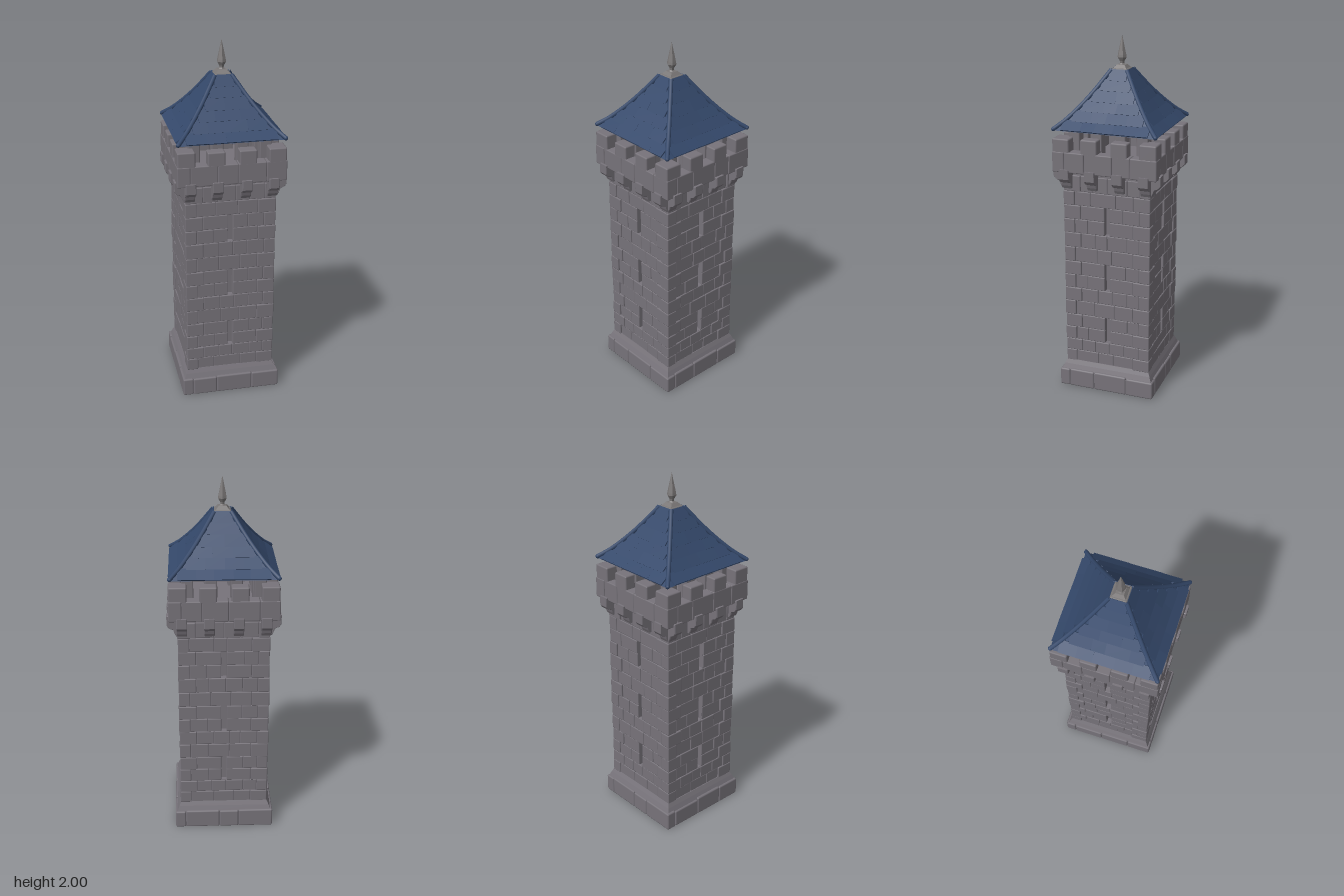
import * as THREE from 'three';
import { mergeGeometries } from 'three/addons/utils/BufferGeometryUtils.js';
import { RoundedBoxGeometry } from 'three/addons/geometries/RoundedBoxGeometry.js';

const stone = new THREE.MeshStandardMaterial({ color: 0x77737a });
stone.name = 'greyStone';
const slate = new THREE.MeshStandardMaterial({ color: 0x34486a });
slate.name = 'blueSlate';
const pale = new THREE.MeshStandardMaterial({ color: 0x7a7777 });
pale.name = 'finialStone';

// Small seeded generator for hand-cut irregularity
let seed = 7;
const rnd = (a, b) => {
  seed = (seed * 16807) % 2147483647;
  return a + (b - a) * (seed / 2147483647);
};

const plain = g => (g.index ? g.toNonIndexed() : g);
const flat = g => { const f = plain(g); f.computeVertexNormals(); return f; };

// Rounded stone between two corners
function block(x0, x1, y0, y1, z0, z1, r = 0.006) {
  const g = new RoundedBoxGeometry(x1 - x0, y1 - y0, z1 - z0, 1, r);
  return plain(g.translate((x0 + x1) / 2, (y0 + y1) / 2, (z0 + z1) / 2));
}

// Square frustum with half widths a (bottom) and b (top)
function frustum(a, b, y0, y1) {
  const g = new THREE.CylinderGeometry(b * Math.SQRT2, a * Math.SQRT2, y1 - y0, 4);
  return flat(g.rotateY(Math.PI / 4).translate(0, (y0 + y1) / 2, 0));
}

// Cut the span a..b into n stones of uneven length
function cuts(a, b, n) {
  const out = [a];
  for (let i = 1; i < n; i++) out.push(a + ((b - a) * (i + rnd(-0.2, 0.2))) / n);
  out.push(b);
  return out;
}

const WINDOWS = [[0.29, 0.445], [0.61, 0.77], [0.94, 1.1]];
const COURSES = [0.15, 0.22, 0.29, 0.367, 0.445, 0.53, 0.61, 0.69, 0.77, 0.855, 0.94, 1.02, 1.1, 1.18, 1.27];
const ROOF = [[0.285, 1.525], [0.237, 1.565], [0.192, 1.613], [0.153, 1.66], [0.112, 1.715], [0.078, 1.765], [0.045, 1.815]];

// Backing wall with open arrow slits
function wall() {
  const s = new THREE.Shape();
  s.moveTo(-0.238, 0.1).lineTo(0.238, 0.1).lineTo(0.238, 1.3).lineTo(-0.238, 1.3).closePath();
  for (const [a, b] of WINDOWS) {
    const h = new THREE.Path();
    h.moveTo(-0.015, a).lineTo(-0.015, b).lineTo(0.015, b).lineTo(0.015, a).closePath();
    s.holes.push(h);
  }
  return [plain(new THREE.ExtrudeGeometry(s, { depth: 0.04, bevelEnabled: false }).translate(0, 0, 0.198))];
}

// Coursed stones of one side, leaving the slits free
function masonry() {
  const out = [];
  for (let i = 0; i < COURSES.length - 1; i++) {
    const y0 = COURSES[i], y1 = COURSES[i + 1], even = i % 2 === 0;
    const left = -0.247 + (even ? 0.06 : 0.095), right = 0.247 - (even ? 0.095 : 0.06);
    const slit = WINDOWS.some(([a, b]) => y0 > a - 0.01 && y1 < b + 0.01);
    const spans = slit
      ? [cuts(left, -0.0145, even ? 2 : 1), cuts(0.0145, right, even ? 1 : 2)]
      : [cuts(left, right, even ? 3 : 4)];
    for (const xs of spans) {
      for (let k = 0; k < xs.length - 1; k++) {
        out.push(block(xs[k] + 0.0005, xs[k + 1] - 0.0005, y0 + 0.0005, y1 - 0.0005, 0.222, 0.243 + rnd(-0.002, 0.003), 0.004));
      }
    }
  }
  return out;
}

// Alternating corner stones
function quoins() {
  const out = [];
  for (let i = 0; i < COURSES.length - 1; i++) {
    const [a, b] = i % 2 ? [0.06, 0.095] : [0.095, 0.06];
    const e = 0.249 + rnd(-0.002, 0.002);
    out.push(block(0.247 - a, e, COURSES[i], COURSES[i + 1], 0.247 - b, e, 0.005));
  }
  return out;
}

function plinth() {
  const xs = cuts(-0.22, 0.28, 3);
  return xs.slice(1).map((x, k) => block(xs[k], x, 0, 0.105 + rnd(-0.005, 0.005), 0.22, 0.28, 0.009));
}

// Sloping bracket profile, pushed out along x
function corbels() {
  const p = [[0.22, 1.2], [0.254, 1.2], [0.262, 1.215], [0.268, 1.235], [0.292, 1.245], [0.303, 1.26], [0.303, 1.31], [0.22, 1.31]];
  const shape = new THREE.Shape(p.map(([z, y]) => new THREE.Vector2(-z, y)));
  return [-0.225, -0.078, 0.078, 0.225].map(x => plain(new THREE.ExtrudeGeometry(shape, {
    depth: 0.049, bevelThickness: 0.004, bevelSize: 0.003, bevelSegments: 1,
  }).translate(0, 0, -0.0245).rotateY(Math.PI / 2).translate(x, 0, 0)));
}

function parapet() {
  const xs = cuts(-0.225, 0.296, 4);
  return xs.slice(1).map((x, k) => block(xs[k], x, 1.295, 1.408, 0.225, 0.296 - rnd(0, 0.003)));
}

function merlons() {
  const top = () => 1.483 + rnd(-0.005, 0.004);
  return [
    block(-0.132, -0.038, 1.395, top(), 0.227, 0.293, 0.008),
    block(0.038, 0.132, 1.395, top(), 0.227, 0.293, 0.008),
    block(0.197, 0.293, 1.395, top(), 0.197, 0.293, 0.008),
  ];
}

// Short piers carrying the roof
function piers() {
  return [-0.067, 0.067, 0.193].map(x => block(x - 0.032, x + 0.032, 1.32, 1.535, 0.161, 0.225));
}

// Overlapping slates on one roof slope
function slates() {
  const out = [];
  for (let i = 0; i < ROOF.length - 1; i++) {
    const [a, ya] = ROOF[i], [b, yb] = ROOF[i + 1];
    const len = Math.hypot(a - b, yb - ya) + 0.008, tilt = Math.atan2(a - b, yb - ya);
    const xs = cuts(-b - 0.006, b + 0.006, Math.max(1, 5 - i));
    for (let k = 0; k < xs.length - 1; k++) {
      const g = new THREE.BoxGeometry(xs[k + 1] - xs[k], len, 0.007);
      g.rotateX(-tilt - rnd(0, 0.06)).rotateY(rnd(-0.008, 0.008));
      out.push(plain(g.translate((xs[k] + xs[k + 1]) / 2, (ya + yb) / 2 + 0.003, (a + b) / 2 + 0.002)));
    }
  }
  return out;
}

// Rounded hip ridge running up one corner
function hips() {
  const path = new THREE.CatmullRomCurve3(ROOF.map(([h, y]) => new THREE.Vector3(h, y + 0.004, h)));
  const end = new THREE.SphereGeometry(0.012, 8, 6).translate(0.285, 1.529, 0.285);
  return [plain(new THREE.TubeGeometry(path, 12, 0.012, 8)), plain(end)];
}

export function createModel() {
  const model = new THREE.Group();
  const add = (name, geos, mat) => {
    const m = new THREE.Mesh(mergeGeometries(geos), mat);
    m.name = name;
    model.add(m);
  };
  // Repeat a side's parts around all four sides
  const around = (name, make, mat) => {
    const all = [];
    for (let i = 0; i < 4; i++) for (const g of make()) all.push(g.rotateY((i * Math.PI) / 2));
    add(name, all, mat);
  };

  add('towerCore', [frustum(0.21, 0.21, 0.002, 1.3)], stone);
  around('slitWall', wall, stone);
  around('wallStones', masonry, stone);
  around('cornerStones', quoins, stone);

  add('plinthCore', [frustum(0.272, 0.272, 0.001, 0.09), frustum(0.274, 0.258, 0.09, 0.13), frustum(0.258, 0.246, 0.13, 0.155)], stone);
  around('plinthStones', plinth, stone);

  around('corbels', corbels, stone);
  add('battlementFloor', [frustum(0.285, 0.285, 1.298, 1.33)], stone);
  around('parapet', parapet, stone);
  around('merlons', merlons, stone);
  around('roofPiers', piers, stone);

  // Stepped roof body under the slates
  const rows = ROOF.slice(1).map(([b, yb], i) => frustum(ROOF[i][0] + 0.002, b, ROOF[i][1] - 0.004, yb + 0.003));
  add('roofBody', rows, slate);
  around('roofSlates', slates, slate);
  around('hipRidges', hips, slate);

  // Finial: square cap, neck and faceted spear point
  const spear = [[0.03, 1.822], [0.024, 1.836], [0.012, 1.85], [0.014, 1.862], [0.026, 1.882], [0.024, 1.895], [0.012, 1.95], [0.0005, 2]];
  add('finial', [
    block(-0.046, 0.046, 1.802, 1.826, -0.046, 0.046, 0.008),
    frustum(0.038, 0.022, 1.824, 1.843),
    flat(new THREE.LatheGeometry(spear.map(([r, y]) => new THREE.Vector2(r, y)), 6)),
  ], pale);
  return model;
}
